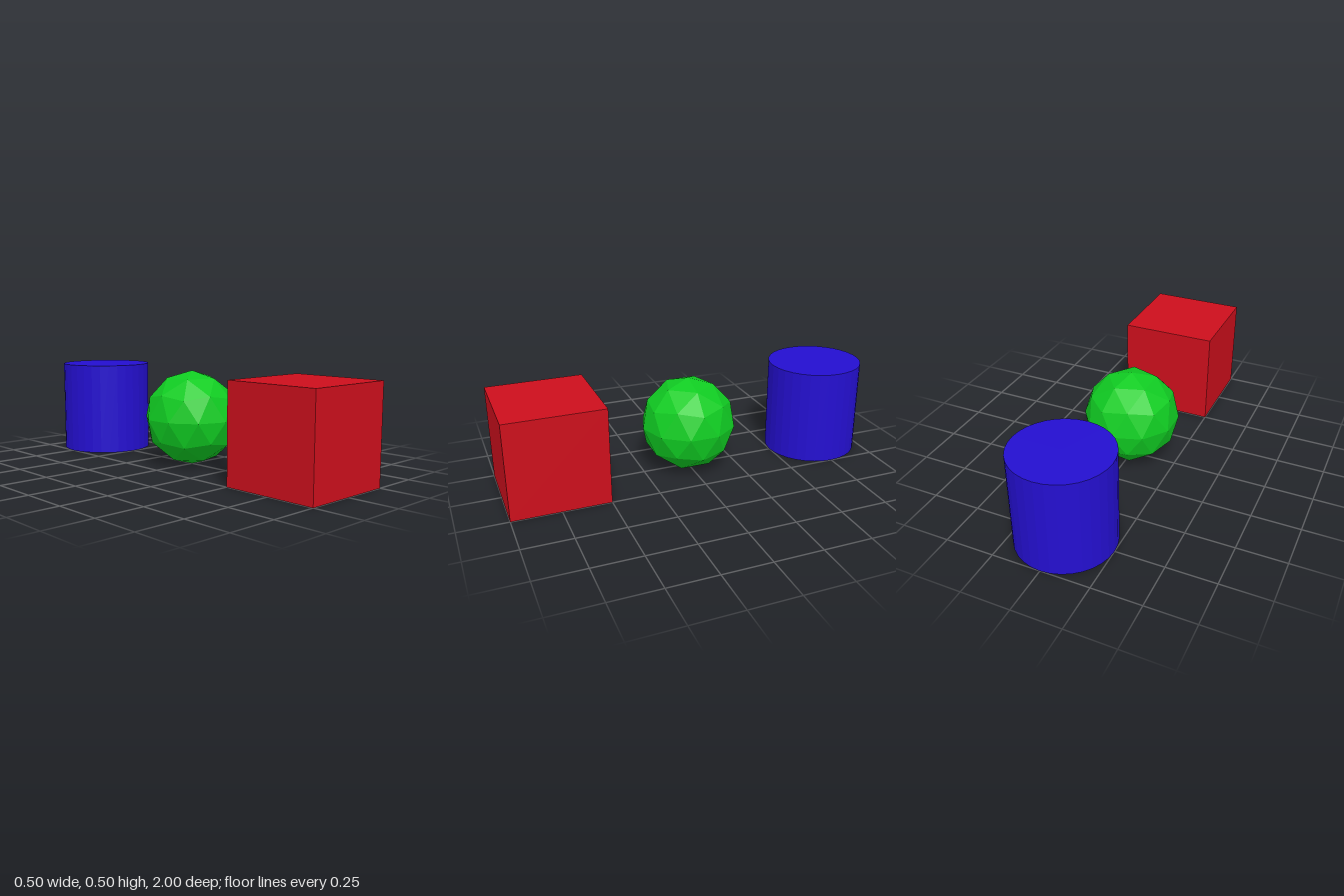
import * as THREE from 'three';

const SIZE = 0.5;
const R = SIZE / 2;

function addPart(group, name, geometry, color, z) {
  const material = new THREE.MeshStandardMaterial({ color, flatShading: true });
  const mesh = new THREE.Mesh(geometry, material);
  mesh.name = name;
  mesh.position.set(0, R, z);
  group.add(mesh);
}

export function createModel() {
  const group = new THREE.Group();
  group.name = 'primitiveShapes';

  // Cube at the front
  addPart(group, 'cube', new THREE.BoxGeometry(SIZE, SIZE, SIZE), 0xcc0f1c, 0.75);

  // Faceted ball in the middle, turned so that a corner points straight up
  const ball = new THREE.IcosahedronGeometry(R, 1);
  ball.rotateZ(-Math.atan(2 / (1 + Math.sqrt(5))));
  addPart(group, 'facetedBall', ball, 0x10cc22, 0);

  // Upright cylinder at the back
  addPart(group, 'cylinder', new THREE.CylinderGeometry(R, R, SIZE, 32), 0x240fd0, -0.75);

  return group;
}
